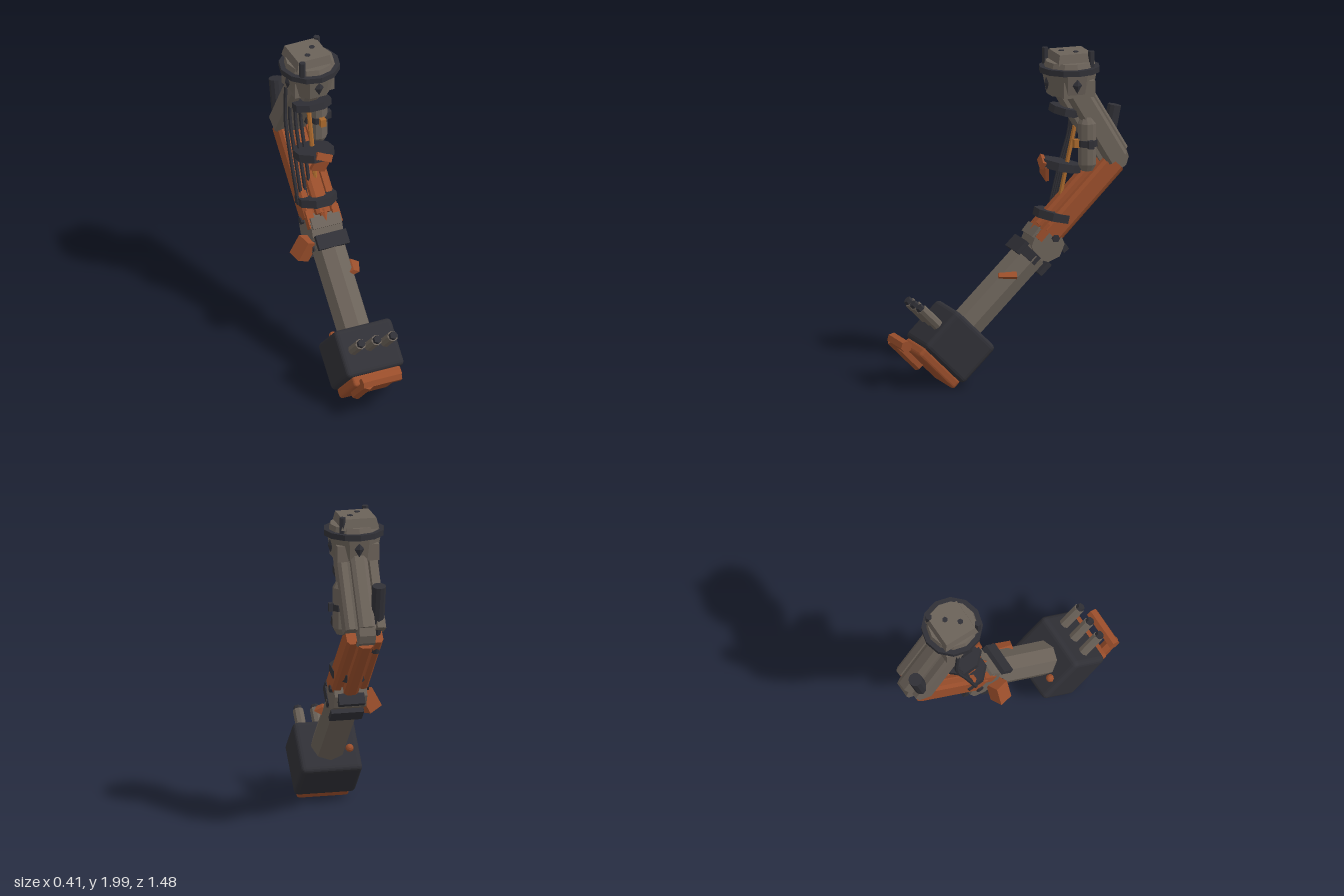
import * as THREE from 'three';
import { RoundedBoxGeometry } from 'three/addons/geometries/RoundedBoxGeometry.js';

const paint = (color) => new THREE.MeshStandardMaterial({ color, flatShading: true });

export function createModel() {
  const model = new THREE.Group();
  const steel = paint(0x6b6259), dark = paint(0x303036), rust = paint(0x9a4e2b), brass = paint(0xa8682c);

  function add(parent, name, geometry, material, pos = [0, 0, 0], rot = [0, 0, 0]) {
    const mesh = new THREE.Mesh(geometry, material);
    mesh.name = name;
    mesh.position.set(...pos);
    mesh.rotation.set(...rot);
    parent.add(mesh);
    return mesh;
  }
  const box = (x, y, z) => new THREE.BoxGeometry(x, y, z);
  const soft = (x, y, z, r) => new RoundedBoxGeometry(x, y, z, 2, r);
  const cyl = (top, bottom, h, sides = 8) => new THREE.CylinderGeometry(top, bottom, h, sides);

  // Mesh whose local y axis runs from a to b
  function between(parent, name, a, b, make, material) {
    const from = new THREE.Vector3(...a), to = new THREE.Vector3(...b);
    const mesh = add(parent, name, make(from.distanceTo(to)), material);
    mesh.position.copy(from).add(to).multiplyScalar(0.5);
    mesh.quaternion.setFromUnitVectors(new THREE.Vector3(0, 1, 0), to.sub(from).normalize());
    return mesh;
  }

  // Grooved beam: a cross section with a middle ridge and two side rails
  function groovedBeam(halfX, halfZ, length) {
    const quarter = [[1, 0.45], [0.85, 0.65], [0.55, 0.65], [0.5, 0.45], [0.4, 0.5], [0.4, 0.85], [0.22, 1]];
    const right = quarter.map(([x, z]) => [x, z]);
    const left = quarter.map(([x, z]) => [-x, z]).reverse();
    const upper = [...right, ...left];
    const outline = [...upper, ...upper.map(([x, z]) => [-x, -z])];
    const shape = new THREE.Shape(outline.map(([x, z]) => new THREE.Vector2(x * halfX, z * halfZ)));
    const geometry = new THREE.ExtrudeGeometry(shape, { depth: length, bevelEnabled: false });
    return geometry.translate(0, 0, -length / 2).rotateX(Math.PI / 2);
  }

  // Lower arm and hammer head, tilted forward; local y runs up the arm
  const lower = new THREE.Group();
  lower.name = 'lowerArm';
  lower.position.set(0, 0.26, 0.38);
  lower.rotation.x = -Math.PI / 4;
  model.add(lower);
  add(lower, 'headBlock', soft(0.38, 0.3, 0.35, 0.03), dark);
  add(lower, 'facePlate', soft(0.32, 0.07, 0.32, 0.02), rust, [0, -0.175, 0]);
  const bar = (length) => cyl(0.036, 0.036, length, 6);
  add(lower, 'guardCrossBar', bar(0.25), rust, [-0.015, -0.215, 0.235], [0, 0, Math.PI / 2]);
  add(lower, 'guardUpright', bar(0.25), rust, [-0.105, -0.225, 0.125], [Math.PI / 2, 0, 0]);
  for (const x of [-0.105, 0, 0.105]) {
    add(lower, 'exhaustTube', cyl(0.033, 0.033, 0.18), steel, [x, 0.01, 0.235], [Math.PI / 2, 0, 0]);
    add(lower, 'exhaustTip', cyl(0.024, 0.027, 0.03, 6), dark, [x, 0.01, 0.335], [Math.PI / 2, 0, 0]);
  }
  add(lower, 'knob', new THREE.SphereGeometry(0.026, 8, 6), rust, [-0.125, 0.155, -0.035]);
  add(lower, 'armShaft', cyl(0.107, 0.107, 0.62), steel, [0, 0.41, 0]);
  add(lower, 'shaftNeck', box(0.16, 0.14, 0.13), steel, [0, 0.77, 0]);
  for (const side of [-1, 1]) {
    add(lower, 'wristBracket', box(0.2, 0.09, 0.03), dark, [0, 0.7, side * 0.1]);
    add(lower, 'wristStrap', box(0.03, 0.06, 0.12), dark, [side * 0.09, 0.7, side * 0.03]);
  }

  // Wrist joint
  add(model, 'wristJoint', cyl(0.105, 0.105, 0.2), steel, [0, 0.83, -0.205], [0, 0, Math.PI / 2]);
  add(model, 'wristCover', box(0.19, 0.07, 0.06), steel, [0, 0.895, -0.15], [-0.7, 0, 0]);
  add(model, 'wristRearBlock', box(0.16, 0.07, 0.04), dark, [0, 0.81, -0.31], [0.6, 0, 0]);
  for (const side of [-1, 1]) {
    add(model, 'wristBolt', cyl(0.024, 0.024, 0.04, 6), dark, [side * 0.1, 0.87, -0.25], [0, 0, Math.PI / 2]);
    add(model, 'wristClip', box(0.045, 0.11, 0.05), rust, [side * 0.085, 0.91, -0.18], [-0.75, 0, 0]);
  }
  add(model, 'wristPin', cyl(0.03, 0.015, 0.08, 6), rust, [0, 0.93, -0.16], [-0.7, 0, 0]);

  // Side plates on the lower arm
  add(model, 'sideShield', box(0.09, 0.13, 0.09), rust, [-0.145, 0.75, -0.135], [0.2, 0.25, -0.5]);
  add(model, 'sideFin', cyl(0.035, 0.05, 0.11, 4), rust, [0.09, 0.66, 0.05], [Math.PI / 2, 0, 0.25])
    .scale.z = 0.5;

  // Middle arm, elbow and upper arm
  between(model, 'middleArm', [0, 0.89, -0.225], [0, 1.31, -0.635], (l) => groovedBeam(0.112, 0.1, l), rust);
  between(model, 'upperArm', [0, 1.8, -0.365], [0, 1.33, -0.645], (l) => groovedBeam(0.125, 0.105, l), steel);
  add(model, 'elbow', cyl(0.085, 0.085, 0.1, 10), steel, [0, 1.325, -0.65], [0, 0, Math.PI / 2]);
  between(model, 'elbowRod', [-0.08, 1.18, -0.595], [-0.08, 1.45, -0.655], (l) => cyl(0.03, 0.025, l), dark);
  between(model, 'elbowPiston', [-0.08, 1.38, -0.64], [-0.08, 1.62, -0.69], (l) => cyl(0.042, 0.042, l, 10), dark);

  // Cable clamps
  const clamps = [
    ['topClamp', 1.63, -0.34, 0.115, 0.08, 0.045],
    ['middleClamp', 1.295, -0.315, 0.115, 0.12, 0.05],
    ['bottomClamp', 0.99, -0.28, 0.117, 0.12, 0.05],
  ];
  for (const [name, y, z, halfX, halfZ, h] of clamps) {
    const geometry = cyl(1, 1, h).rotateY(Math.PI / 8).scale(halfX / 0.924, 1, halfZ / 0.924);
    add(model, name, geometry, dark, [0, y, z], [-0.22, 0, 0]);
  }

  // Cables and tension rod
  [-0.135, -0.105, -0.07, -0.035].forEach((x, i) => {
    const points = [[x, 1.74, -0.42], [x, 1.5, -0.425], [x * 0.97, 1.27, -0.36], [x * 0.85, 0.97, -0.28]];
    const curve = new THREE.CatmullRomCurve3(points.map((p) => new THREE.Vector3(...p)));
    add(model, 'cable' + (i + 1), new THREE.TubeGeometry(curve, 16, 0.012, 6), dark);
  });
  between(model, 'tensionRod', [0.01, 1.0, -0.29], [0.01, 1.53, -0.405], (l) => cyl(0.014, 0.014, l, 6), brass);

  // Small bent flag plate
  add(model, 'flagPlate', box(0.1, 0.1, 0.022), rust, [0, 1.27, -0.215], [0.18, 0, -0.4]);
  add(model, 'flagLip', box(0.1, 0.045, 0.025), rust, [0.015, 1.325, -0.195], [-0.4, 0, -0.4]);

  // Canister strapped to the upper arm
  const profile = [[0, -0.165], [0.035, -0.165], [0.057, -0.125], [0.057, 0.125], [0.035, 0.165], [0, 0.165]];
  const tank = profile.map(([r, y]) => new THREE.Vector2(r, y));
  add(model, 'canister', new THREE.LatheGeometry(tank, 10), steel, [0.092, 1.435, -0.455]);
  add(model, 'canisterBand', cyl(0.064, 0.064, 0.04, 10), dark, [0.092, 1.44, -0.455]);
  for (let i = 0; i < 4; i++) {
    const a = (i * Math.PI) / 2;
    add(model, 'bandClip', box(0.035, 0.05, 0.035), i === 0 ? brass : dark,
      [0.092 + Math.sin(a) * 0.066, 1.44, -0.455 + Math.cos(a) * 0.07], [0, a, 0]);
  }

  // Shoulder housing
  const shoulder = new THREE.Group();
  shoulder.name = 'shoulder';
  shoulder.position.set(0, 0, -0.375);
  model.add(shoulder);
  const housing = cyl(0.165, 0.138, 0.14).rotateY(Math.PI / 8);
  add(shoulder, 'housing', housing, steel, [0, 1.8, 0]);
  add(shoulder, 'housingBase', box(0.26, 0.1, 0.2), steel, [0, 1.775, -0.02]);
  add(shoulder, 'ring', cyl(0.185, 0.185, 0.035, 12), dark, [0, 1.885, 0]);
  add(shoulder, 'collar', cyl(0.145, 0.158, 0.045, 12), steel, [0, 1.912, 0]);
  const cap = cyl(0.145, 0.165, 0.065, 4).rotateY(Math.PI / 4);
  add(shoulder, 'cap', cap, steel, [-0.01, 1.955, -0.01]);
  for (const [x, z] of [[0.095, -0.105], [-0.1, 0.12]]) {
    add(shoulder, 'stud', cyl(0.02, 0.02, 0.12, 6), dark, [x, 1.94, z]);
  }
  for (const [x, z] of [[0.03, -0.03], [-0.03, 0.04]]) {
    add(shoulder, 'capBolt', cyl(0.018, 0.018, 0.008, 6), dark, [x, 1.987, z]);
  }
  for (let i = 0; i < 4; i++) {
    const a = (i * Math.PI) / 2;
    const gem = new THREE.OctahedronGeometry(1).scale(0.03, 0.05, 0.018);
    add(shoulder, 'diamondStud', gem, dark, [Math.sin(a) * 0.143, 1.805, Math.cos(a) * 0.143], [0, a, 0]);
  }
  return model;
}
